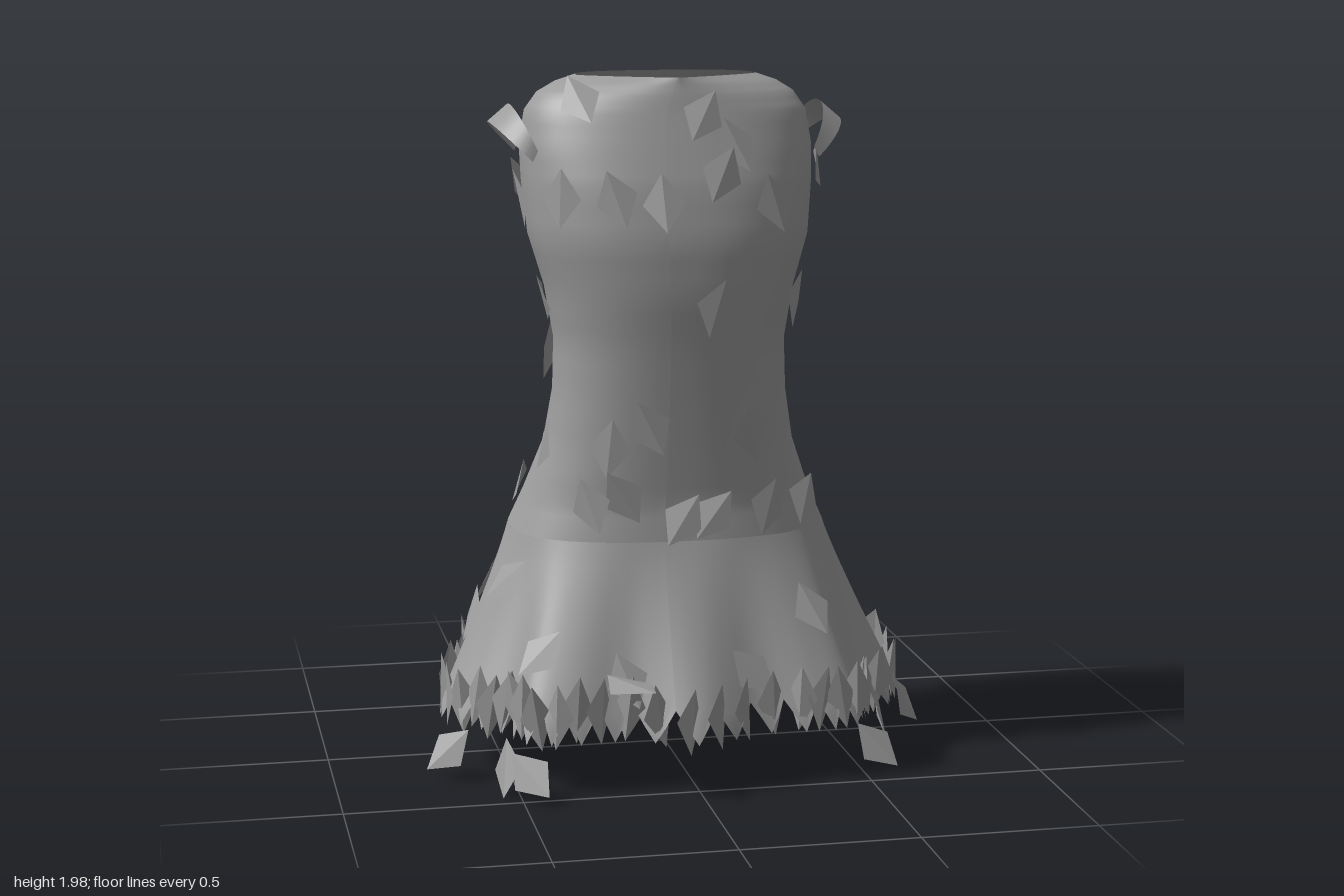
import * as THREE from 'three';

// Bodice sections: height, half width, front z, back z, front roundness
const ROWS = [
  [2, .26, .2, -.14, 1.2], [1.98, .32, .205, -.155, 1.5], [1.95, .37, .215, -.18, 1.8],
  [1.9, .405, .23, -.205, 2.1], [1.8, .42, .265, -.235, 2.3], [1.7, .415, .3, -.25, 2.4],
  [1.55, .4, .33, -.245, 2.4], [1.4, .355, .33, -.225, 2.4], [1.25, .33, .315, -.2, 2.4],
  [1.1, .335, .305, -.185, 2.4], [.95, .36, .297, -.205, 2.4], [.8, .415, .29, -.26, 2.4],
  [.7, .46, .305, -.29, 2.4],
];

// Wavy hem outline, front to back, mirrored to the other side
const HALF = [[0, .55], [.2, .47], [.37, .48], [.49, .44], [.53, .33], [.62, .24], [.69, .1],
  [.63, -.06], [.59, -.2], [.56, -.35], [.36, -.46], [.18, -.53], [0, -.475]];
const OTHER = HALF.slice(1, -1).reverse().map(([x, z]) => [-x, z]);
const HEM = new THREE.CatmullRomCurve3(
  [...HALF, ...OTHER].map(([x, z]) => new THREE.Vector3(x, 0, z)), true);
const TAU = Math.PI * 2;

// Point on the dress at angle a (0 = front, towards +x) and height y
function dressPoint(a, y) {
  const yy = THREE.MathUtils.clamp(y, .7, 2);
  let i = 0;
  while (i < ROWS.length - 2 && ROWS[i + 1][0] > yy) i++;
  const k = (ROWS[i][0] - yy) / (ROWS[i][0] - ROWS[i + 1][0]);
  const [, w, zf, zb, nf] = ROWS[i].map((v, n) => THREE.MathUtils.lerp(v, ROWS[i + 1][n], k));
  const s = Math.sin(a), c = Math.cos(a), n = c > 0 ? nf : 2.7, mid = (zf + zb) / 2;
  const p = new THREE.Vector3(
    w * Math.sign(s) * Math.abs(s) ** (2 / n), y,
    mid + (zf - zb) / 2 * Math.sign(c) * Math.abs(c) ** (2 / n));
  if (y < .7) {
    const h = HEM.getPoint(((a / TAU) % 1 + 1) % 1);
    h.y = y;
    p.lerp(h, Math.min(1, ((.7 - y) / .51) ** 1.08));
  }
  return p;
}

function dressNormal(a, y) {
  const along = dressPoint(a + .04, y).sub(dressPoint(a - .04, y));
  const down = dressPoint(a, y - .02).sub(dressPoint(a, Math.min(2, y + .02)));
  return down.cross(along).normalize();
}

// Surface patch from a rule, nu columns by nv rows
function patch(nu, nv, rule) {
  const pos = [], idx = [];
  for (let j = 0; j <= nv; j++)
    for (let i = 0; i <= nu; i++) pos.push(...rule(i / nu, j / nv).toArray());
  for (let j = 0; j < nv; j++)
    for (let i = 0; i < nu; i++) {
      const p = j * (nu + 1) + i, q = p + nu + 1;
      idx.push(p, q, p + 1, p + 1, q, q + 1);
    }
  const g = new THREE.BufferGeometry();
  g.setAttribute('position', new THREE.Float32BufferAttribute(pos, 3));
  g.setIndex(idx);
  g.computeVertexNormals();
  return g;
}

// Diamond leaf with a soft fold down the middle
function leafGeometry(w, h, fold) {
  const g = new THREE.BufferGeometry();
  g.setAttribute('position', new THREE.Float32BufferAttribute([
    0, h, 0, -w, 0, -fold, 0, -h, 0,
    0, h, 0, 0, -h, 0, w, 0, -fold], 3));
  g.computeVertexNormals();
  return g;
}

let seed = 7;
const rand = () => (seed = (seed * 16807) % 2147483647) / 2147483647;
const jitter = (r) => (rand() * 2 - 1) * r;

export function createModel() {
  seed = 7;
  const model = new THREE.Group();
  model.name = 'leafDress';
  const cloth = new THREE.MeshStandardMaterial({ color: 0x9c9c9c, side: THREE.DoubleSide });
  cloth.name = 'grey cloth';
  const add = (parent, geo, name) => {
    const m = new THREE.Mesh(geo, cloth);
    m.name = name;
    parent.add(m);
    return m;
  };
  const group = (name) => {
    const g = new THREE.Group();
    g.name = name;
    model.add(g);
    return g;
  };

  // Bodice and skirt, both opening at a seam just off the front centre
  const seam = -.09;
  add(model, patch(96, 36, (u, v) => {
    const r = v * 12, i = Math.min(11, Math.floor(r));
    return dressPoint(seam + u * TAU, THREE.MathUtils.lerp(ROWS[i][0], ROWS[i + 1][0], r - i));
  }), 'bodice');
  const teeth = 42;
  add(model, patch(teeth * 4, 14, (u, v) => {
    const tooth = Math.abs(((u * teeth) % 1) - .5) * 2;
    return dressPoint(seam + u * TAU, THREE.MathUtils.lerp(.7, .17 + .09 * tooth, v));
  }), 'skirt');

  // Cap sleeves standing off the shoulders
  for (const side of [1, -1]) {
    add(model, patch(16, 1, (u, v) => {
      const s = Math.sin(u * Math.PI);
      return new THREE.Vector3(side * (.395 + .015 * v + s * (.055 + .045 * v)),
        1.8 - .03 * v + s * (.12 - .02 * v), .18 * Math.cos(u * Math.PI));
    }), side > 0 ? 'leftCapSleeve' : 'rightCapSleeve');
  }

  // Leaf fringe folded upright along the hem
  const fringe = group('hemFringe');
  const hemLeaf = leafGeometry(.045, .095, .02);
  for (let i = 0; i < 56; i++) {
    const a = seam + (i + .5) / 56 * TAU;
    const m = add(fringe, hemLeaf, 'hemLeaf');
    m.position.copy(dressPoint(a, .2)).multiplyScalar(.99).setY(.255 + jitter(.02));
    const n = dressNormal(a, .25);
    m.rotation.set(0, Math.atan2(n.x, n.z) + jitter(.9), jitter(.2));
  }

  // Scattered leaves: x across the front and back, z across the sides, then height
  const leaf = leafGeometry(.06, .085, .012);
  const scattered = group('scatteredLeaves');
  const spots = {
    front: [[-.27, 1.93], [.06, 1.89], [.15, 1.81], [.1, 1.73], [.25, 1.65], [-.33, 1.67],
      [-.19, 1.67], [-.07, 1.66], [.08, 1.37], [-.21, .97], [-.1, 1.03], [.19, 1], [-.26, .8],
      [-.17, .83], [0, .76], [.08, .77], [.24, .78], [.35, .49], [.16, .34], [-.19, .33], [-.42, .4]],
    left: [[.11, 1.74], [-.1, 1.74], [-.04, 1.5], [.17, 1.37], [-.15, 1.42], [-.12, 1.3],
      [.19, .78], [-.13, .8], [.02, .32], [-.18, .34]],
    back: [[.2, 1.85], [.02, 1.87], [-.18, 1.84], [.25, 1.62], [.1, 1.57], [0, 1.45], [-.12, 1.42],
      [-.1, 1.15], [.1, 1.1], [-.24, 1.1], [-.1, 1], [.2, .8], [-.2, .77], [.05, .5], [-.32, .55], [.3, .42]],
    right: [[.05, 1.66], [-.12, 1.68], [.08, 1.38], [-.06, 1.2], [.1, .95], [-.1, .8],
      [.15, .57], [.05, .45], [-.15, .5]],
  };
  ['front', 'left', 'back', 'right'].forEach((face, f) => spots[face].forEach(([u, y]) => {
    let a = 0, best = 9;
    for (let t = -1.45; t <= 1.45; t += .02) {
      const p = dressPoint(f * Math.PI / 2 + t, y);
      const d = Math.abs((f % 2 ? p.z : p.x) - u);
      if (d < best) { best = d; a = f * Math.PI / 2 + t; }
    }
    const m = add(scattered, leaf, 'leaf');
    const n = dressNormal(a, y);
    m.position.copy(dressPoint(a, y)).addScaledVector(n, .022);
    m.lookAt(m.position.clone().add(n));
    m.rotateX(jitter(.12));
    m.rotateY(jitter(.15));
    m.rotateZ(jitter(.7));
  }));

  // Loose leaves hanging from the hem: position, then rotation
  const loose = group('looseLeaves');
  [
    [.55, .09, .38, -.5, .3, .6], [.71, .14, .12, -.3, 1, .5], [-.68, .11, .25, -.4, -.7, -.7],
    [-.48, .1, .5, -.5, -.4, .8], [-.54, .1, .42, -.3, -1.1, .3], [.5, .11, -.41, .25, 2.6, .2],
    [-.2, .355, .53, -1.54, 0, .5], [.06, .28, -.54, -1.54, 0, -.4], [.62, .12, .16, -.2, 1.4, -.4],
  ].forEach(([x, y, z, rx, ry, rz]) => {
    const m = add(loose, leaf, 'looseLeaf');
    m.position.set(x, y, z);
    m.rotation.set(rx, ry, rz, 'YXZ');
    m.scale.setScalar(Math.abs(rx) > 1 ? 1.25 : 1);
  });

  return model;
}
